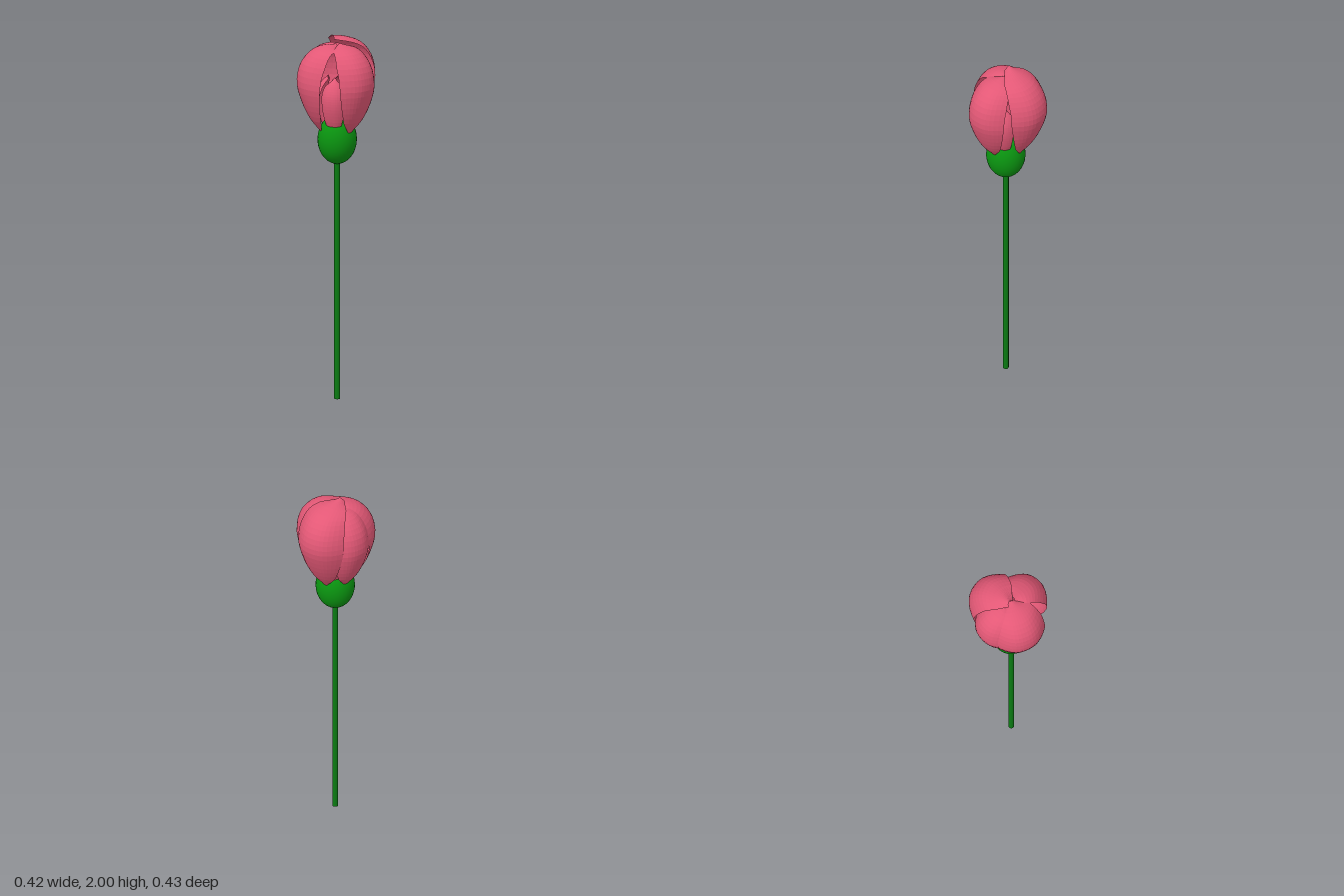
import * as THREE from 'three';

const AXIS = new THREE.Vector3(-0.005, 0, 0.025);

const petalMat = new THREE.MeshStandardMaterial({ color: 0xe35876, flatShading: true, side: THREE.DoubleSide });
const greenMat = new THREE.MeshStandardMaterial({ color: 0x0a9410 });
const stemMat = new THREE.MeshStandardMaterial({ color: 0x0a7c12 });
const yellowMat = new THREE.MeshStandardMaterial({ color: 0xe8c020 });

// Petal profiles from base to tip: [radius, height, half width, cup depth]
const OUTER = [
  [0.09, 1.475, 0.006, 0], [0.15, 1.55, 0.07, 0.035], [0.197, 1.65, 0.11, 0.06], [0.222, 1.75, 0.127, 0.08],
  [0.203, 1.85, 0.122, 0.085], [0.145, 1.92, 0.1, 0.065], [0.075, 1.95, 0.075, 0.035], [0.012, 1.96, 0.02, 0.01],
];
const BACK = [
  [0.095, 1.48, 0.006, 0], [0.155, 1.56, 0.075, 0.035], [0.21, 1.67, 0.12, 0.07], [0.24, 1.78, 0.142, 0.095],
  [0.222, 1.87, 0.136, 0.095], [0.165, 1.94, 0.115, 0.075], [0.09, 1.972, 0.085, 0.045], [0, 1.985, 0.02, 0.01],
];
const INNER = [
  [0.06, 1.47, 0.025, 0.01], [0.095, 1.55, 0.05, 0.02], [0.113, 1.63, 0.062, 0.03],
  [0.11, 1.69, 0.065, 0.035], [0.085, 1.745, 0.05, 0.025], [0.05, 1.78, 0.012, 0.005],
];

// Cupped petal facing the given angle: its sides bend inwards by the cup depth
function petal(name, profile, { angle, tip = [0, 0, 0], reach = 1, width = 1 }) {
  const spine = new THREE.CatmullRomCurve3(profile.map(([r, y]) => new THREE.Vector3(r * reach, y, 0)));
  const section = new THREE.CatmullRomCurve3(profile.map(([, , w, d]) => new THREE.Vector3(w * width, d, 0)));
  const a = THREE.MathUtils.degToRad(angle);
  const geo = new THREE.PlaneGeometry(1, 1, 14, 22);
  const pos = geo.attributes.position;
  for (let i = 0; i < pos.count; i++) {
    const s = pos.getX(i) * 2;
    const t = pos.getY(i) + 0.5;
    const p = spine.getPoint(t), q = section.getPoint(t);
    const out = p.x - q.y * Math.abs(s) ** 2.4;
    const side = q.x * s;
    const k = t ** 6;
    pos.setXYZ(i,
      AXIS.x + out * Math.cos(a) - side * Math.sin(a) + tip[0] * k,
      p.y - 0.02 * s * s * t * t + tip[1] * k,
      AXIS.z + out * Math.sin(a) + side * Math.cos(a) + tip[2] * k);
  }
  geo.computeVertexNormals();
  const mesh = new THREE.Mesh(geo, petalMat);
  mesh.name = name;
  return mesh;
}

function part(name, geo, mat, x, y, z) {
  const mesh = new THREE.Mesh(geo, mat);
  mesh.name = name;
  mesh.position.set(x, y, z);
  return mesh;
}

export function createModel() {
  const flower = new THREE.Group();
  flower.name = 'flower';

  // Stem and the egg-shaped green base of the bloom
  flower.add(part('stem', new THREE.CylinderGeometry(0.016, 0.016, 1.34, 12), stemMat, AXIS.x, 0.67, AXIS.z));
  const base = part('calyx', new THREE.SphereGeometry(0.105, 32, 24), greenMat, AXIS.x, 1.43, AXIS.z);
  base.scale.y = 1.28;
  flower.add(base);

  // Four large petals, the back one highest with a tip that flicks up
  flower.add(
    petal('frontLeftPetal', OUTER, { angle: 25, reach: 1.02, tip: [0.005, 0, 0] }),
    petal('frontRightPetal', OUTER, { angle: 143, reach: 0.98, width: 1.08, tip: [0.005, -0.005, -0.005] }),
    petal('backRightPetal', OUTER, { angle: 217, reach: 0.96, width: 0.95, tip: [-0.015, -0.012, -0.015] }),
    petal('backPetal', BACK, { angle: 288, tip: [-0.03, 0.015, -0.005] }),
  );

  // Small inner petals
  [85, 355, 178, 268].forEach((angle, i) =>
    flower.add(petal('innerPetal' + (i + 1), INNER, { angle })));

  // Stamens: a ring of short filaments with round heads
  const stamens = new THREE.Group();
  stamens.name = 'stamens';
  for (let i = 0; i < 6; i++) {
    const a = i * Math.PI / 3;
    const x = AXIS.x + 0.035 * Math.cos(a), z = AXIS.z + 0.035 * Math.sin(a);
    stamens.add(
      part('filament', new THREE.CylinderGeometry(0.004, 0.004, 0.12, 6), yellowMat, x, 1.57, z),
      part('anther', new THREE.SphereGeometry(0.011, 10, 8), yellowMat, x, 1.635, z));
  }
  flower.add(stamens);

  return flower;
}
